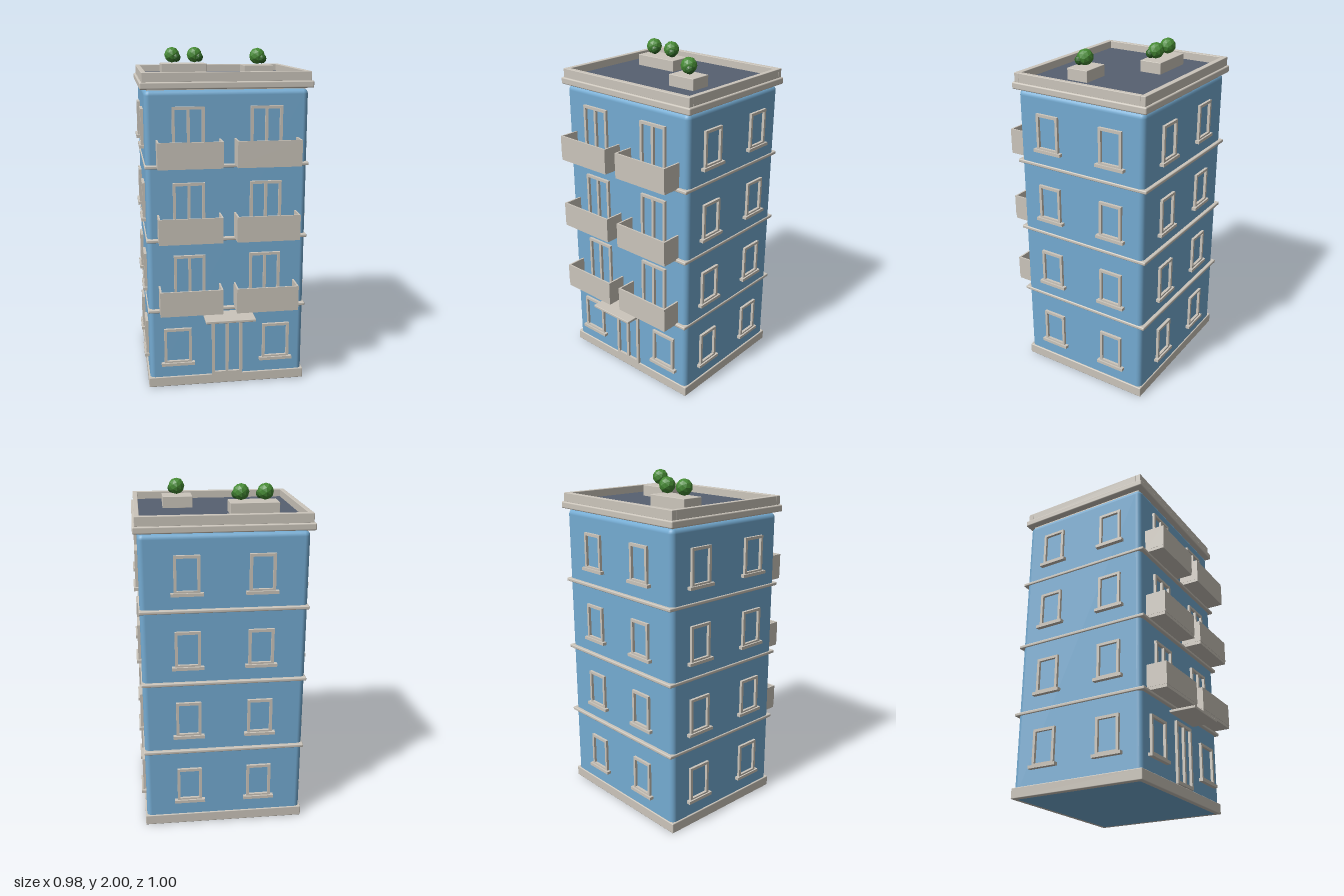
import * as THREE from 'three';
import { RoundedBoxGeometry } from 'three/addons/geometries/RoundedBoxGeometry.js';

const material = (name, color, flatShading = false) => {
  const m = new THREE.MeshStandardMaterial({ color, flatShading });
  m.name = name;
  return m;
};

export function createModel() {
  const wall = material('blue wall', 0x74abd2);
  const trim = material('stone trim', 0xcbc5bb);
  const slate = material('slate roof', 0x566070);
  const leaf = material('leaf green', 0x468a34, true);
  const darkLeaf = material('dark leaf green', 0x2f6626, true);

  const model = new THREE.Group();
  model.name = 'apartmentBlock';
  const ZC = -0.067, HX = 0.466, HZ = 0.41, FLOOR = 0.431;
  const FRONT = ZC + HZ;

  const add = (parent, name, geo, mat, x = 0, y = 0, z = 0) => {
    const mesh = new THREE.Mesh(geo, mat);
    mesh.name = name;
    mesh.position.set(x, y, z);
    parent.add(mesh);
    return mesh;
  };
  // box given by its bottom height
  const box = (parent, name, mat, w, h, d, x, y, z, r = 0) =>
    add(parent, name, r ? new RoundedBoxGeometry(w, h, d, 3, r) : new THREE.BoxGeometry(w, h, d),
      mat, x, y + h / 2, z);

  // frame in the xy plane, standing on y = 0, with one or two panes
  const frameGeometry = (w, h, border, depth, panes) => {
    const rect = (target, x0, y0, x1, y1) =>
      target.moveTo(x0, y0).lineTo(x1, y0).lineTo(x1, y1).lineTo(x0, y1).closePath();
    const shape = rect(new THREE.Shape(), -w / 2, 0, w / 2, h);
    const paneW = (w - border * (panes + 1)) / panes;
    for (let i = 0; i < panes; i++) {
      const x = -w / 2 + border + i * (paneW + border);
      shape.holes.push(rect(new THREE.Path(), x, border, x + paneW, h - border));
    }
    return new THREE.ExtrudeGeometry(shape, { depth, bevelEnabled: false });
  };

  const addWindow = (name, w, h, x, y, z, turn) => {
    const g = new THREE.Group();
    g.name = name;
    add(g, 'windowFrame', frameGeometry(w, h, 0.016, 0.018, 1), trim, 0, 0, -0.002);
    box(g, 'windowSill', trim, w + 0.036, 0.018, 0.028, 0, -0.012, 0.012);
    g.position.set(x, y, z);
    g.rotation.y = turn;
    model.add(g);
  };

  // main volume
  box(model, 'walls', wall, HX * 2, 1.783, HZ * 2, 0, 0, ZC, 0.03);
  box(model, 'plinth', trim, 0.95, 0.062, 0.834, 0, 0.002, ZC, 0.005);
  for (let i = 0; i < 3; i++)
    box(model, 'floorBand', trim, 0.944, 0.02, 0.862, 0, 0.484 + i * FLOOR, ZC, 0.006);

  // cornice, parapet and roof
  box(model, 'cornice', trim, 0.98, 0.04, 0.864, 0, 1.788, ZC, 0.008);
  box(model, 'corniceNeck', trim, 0.9, 0.02, 0.78, 0, 1.776, ZC);
  for (const s of [-1, 1]) {
    box(model, 'parapetLong', trim, 0.956, 0.054, 0.032, 0, 1.826, ZC + s * 0.404, 0.003);
    box(model, 'parapetSide', trim, 0.028, 0.054, 0.778, s * 0.464, 1.826, ZC, 0.003);
  }
  box(model, 'roofDeck', slate, 0.9, 0.01, 0.776, 0, 1.826, ZC);

  // windows on the sides and back
  for (let f = 0; f < 4; f++) {
    const y = 0.163 + f * FLOOR;
    for (const s of [-1, 1]) {
      for (const t of [-1, 1])
        addWindow('sideWindow', 0.145, 0.213, s * HX, y, ZC + t * 0.207, s * Math.PI / 2);
      addWindow('backWindow', 0.145, 0.213, s * 0.207, y, ZC - HZ, Math.PI);
    }
  }

  // entrance
  for (const s of [-1, 1])
    addWindow('groundWindow', 0.164, 0.222, s * 0.298, 0.154, FRONT, 0);
  add(model, 'entranceDoorFrame', frameGeometry(0.186, 0.36, 0.018, 0.018, 2), trim, 0, 0.064, FRONT - 0.002);
  box(model, 'entranceCanopy', trim, 0.294, 0.016, 0.167, 0, 0.455, 0.4165, 0.003);

  // balconies with their doors
  for (let f = 0; f < 3; f++) {
    for (const s of [-1, 1]) {
      const b = new THREE.Group();
      b.name = 'balcony';
      add(b, 'balconyDoorFrame', frameGeometry(0.184, 0.33, 0.016, 0.018, 2), trim, 0, 0, -0.002);
      box(b, 'balconySlab', trim, 0.364, 0.02, 0.124, 0, -0.002, 0.058);
      box(b, 'balconyFront', trim, 0.366, 0.132, 0.01, 0, 0.016, 0.117);
      for (const t of [-1, 1])
        box(b, 'balconySide', trim, 0.01, 0.132, 0.114, t * 0.178, 0.016, 0.057);
      b.position.set(s * 0.223, 0.5 + f * FLOOR, FRONT);
      model.add(b);
    }
  }

  // roof planters and bushes
  box(model, 'longPlanter', trim, 0.278, 0.068, 0.133, -0.195, 1.834, -0.203, 0.003);
  box(model, 'shortPlanter', trim, 0.174, 0.068, 0.133, 0.22, 1.834, 0.05, 0.003);
  for (const [x, z] of [[-0.262, -0.2], [-0.123, -0.2], [0.222, 0.052]]) {
    add(model, 'bush', new THREE.IcosahedronGeometry(0.047, 1), leaf, x, 1.953, z);
    add(model, 'smallBush', new THREE.IcosahedronGeometry(0.028, 1), darkLeaf, x + 0.024, 1.938, z + 0.022);
  }
  return model;
}
